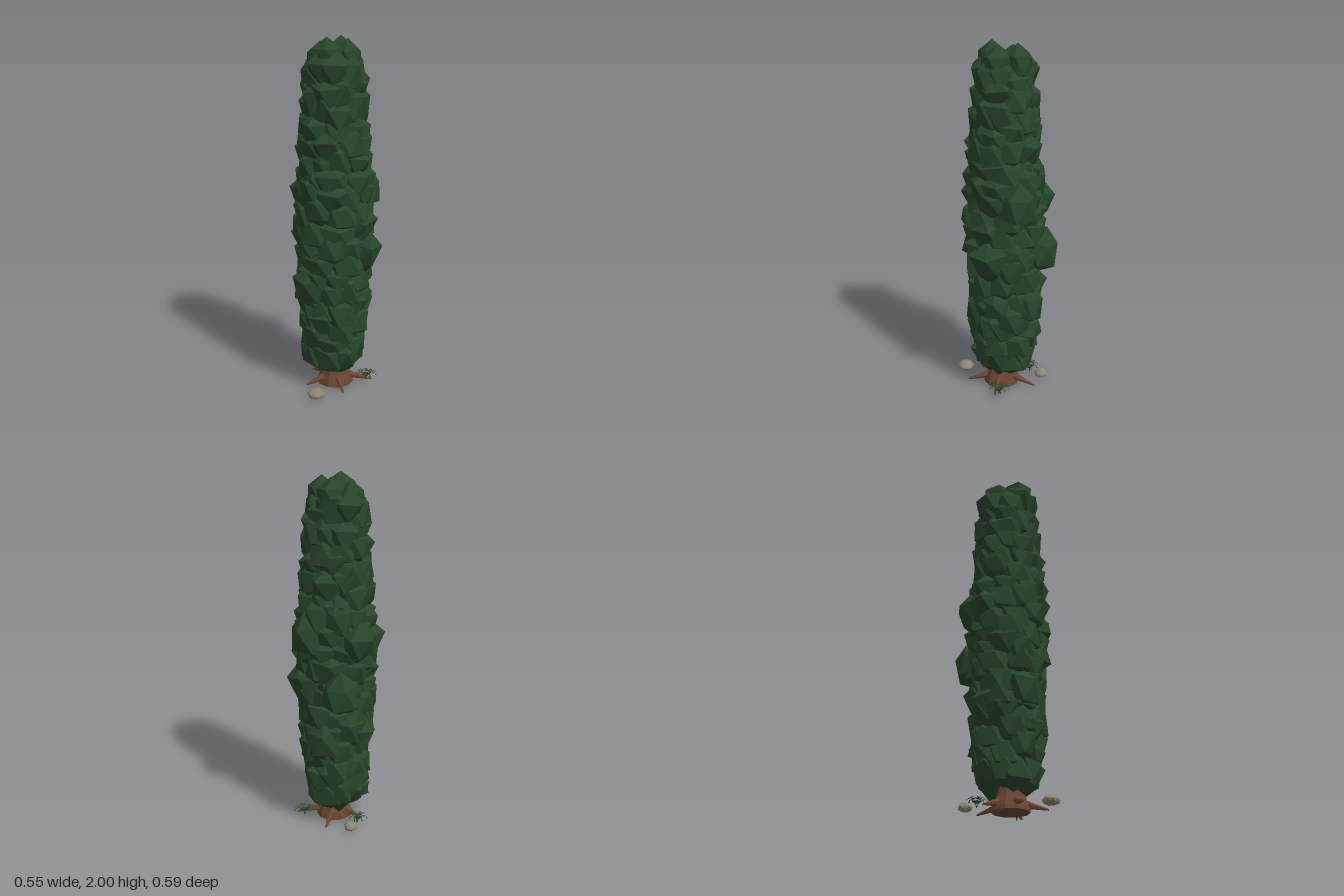
import * as THREE from 'three';

const flat = (name, color, extra = {}) =>
  Object.assign(new THREE.MeshStandardMaterial({ color, flatShading: true, ...extra }), { name });

// Small seeded generator, returns values between a and b
function makeRandom(seed) {
  return (a, b) => {
    seed = (seed * 16807) % 2147483647;
    return a + (b - a) * (seed / 2147483647);
  };
}

// Icosahedron whose corners are pushed in and out by a rule, for an angular, uneven lump
function lump(detail, amount, phase) {
  const geometry = new THREE.IcosahedronGeometry(1, detail).rotateZ(-0.5536); // one corner points up
  const p = geometry.attributes.position;
  const v = new THREE.Vector3();
  for (let i = 0; i < p.count; i++) {
    v.fromBufferAttribute(p, i);
    const wave = Math.sin(v.x * 5.1 + phase) + Math.sin(v.y * 4.3 + phase * 2.3) + Math.sin(v.z * 6.7 + phase * 3.1);
    v.multiplyScalar(1 + amount * wave / 3);
    p.setXYZ(i, v.x, v.y, v.z);
  }
  geometry.computeVertexNormals();
  return geometry;
}

export function createModel() {
  const leaf = flat('leafGreen', 0x284529);
  const bark = flat('barkBrown', 0x6b4632);
  const rock = flat('stoneGrey', 0x8c8573);
  const fernGreen = flat('fernGreen', 0x2b4a29, { side: THREE.DoubleSide });
  const rand = makeRandom(4217);
  const model = new THREE.Group();
  model.name = 'columnarTree';

  const add = (parent, name, geometry, material) => {
    const mesh = new THREE.Mesh(geometry, material);
    mesh.name = name;
    parent.add(mesh);
    return mesh;
  };

  // Foliage: a solid core wrapped in staggered rings of angular clumps
  const foliage = new THREE.Group();
  foliage.name = 'foliage';
  model.add(foliage);
  const core = [[0, 0.11], [0.1, 0.14], [0.16, 0.4], [0.175, 1.1], [0.14, 1.6], [0.1, 1.84], [0, 1.86]];
  add(foliage, 'foliageCore', new THREE.LatheGeometry(core.map(p => new THREE.Vector2(...p)), 9), leaf);

  const shapes = [0.4, 1.7, 2.9, 4.1, 5.3].map(phase => lump(0, 0.22, phase));
  const crownShape = new THREE.IcosahedronGeometry(1, 0).rotateZ(-0.5536);
  const clump = (shape, angle, y, reach, size, tall, tilt, spin) => {
    const mesh = add(foliage, 'leafClump', shape, leaf);
    const r = reach - size * 0.9;
    mesh.position.set(Math.cos(angle) * r - 0.014, y, Math.sin(angle) * r - 0.012);
    mesh.rotation.set(0, -angle, tilt, 'YXZ');
    mesh.scale.set(size, size * tall, size * 1.15);
    mesh.rotateY(spin);
  };

  // Outer radius of the column by height
  const outline = [[0.17, 0.18], [0.35, 0.2], [0.6, 0.218], [0.9, 0.226], [1.1, 0.232],
    [1.4, 0.208], [1.6, 0.193], [1.9, 0.168]];
  const radiusAt = y => {
    const i = Math.max(1, outline.findIndex(p => p[0] >= y));
    const [y0, r0] = outline[i - 1], [y1, r1] = outline[i];
    return r0 + (r1 - r0) * (y - y0) / (y1 - y0);
  };
  const rings = 18, perRing = 9;
  for (let i = 0; i < rings; i++) {
    const y = 0.2 + i * 0.094;
    for (let j = 0; j < perRing; j++) {
      const angle = ((j + (i % 2) / 2) / perRing) * Math.PI * 2 + i * 0.13 + rand(-0.15, 0.15);
      const lift = i === 0 ? 0 : rand(-0.03, 0.03);
      const size = rand(0.082, 0.1);
      clump(shapes[(i * 3 + j * 2) % 5], angle, y + lift, radiusAt(y) + rand(-0.01, 0.01), size,
        rand(1.15, 1.4), rand(-0.3, 0.1), rand(-0.5, 0.5));
    }
  }
  // Larger clumps that break the outline
  [[-0.05, 0.81, 0.272], [-1.9, 0.84, 0.3], [3.22, 1.1, 0.25], [-0.9, 1.15, 0.28],
    [2.0, 0.62, 0.245], [-2.45, 1.1, 0.275], [-1.4, 0.55, 0.25]].forEach(([a, y, reach], i) =>
    clump(shapes[i % 5], a, y, reach, 0.1, 1.35, -0.2, 0.3));
  // Crown of four upright peaks around a hollow
  [1.99, 2, 1.97, 1.995].forEach((peak, i) =>
    clump(crownShape, i * Math.PI / 2 + 0.05, peak - 0.11, 0.158, 0.085, 1.3, 0, i * 0.4));

  // Trunk flaring to the ground
  const trunk = [[0, 0.003], [0.103, 0.003], [0.1, 0.025], [0.08, 0.08], [0.068, 0.13], [0.065, 0.2], [0, 0.2]];
  add(model, 'trunk', new THREE.LatheGeometry(trunk.map(p => new THREE.Vector2(...p)), 10), bark);

  // Five tapering roots
  [0.197, 0.19, 0.178, 0.215, 0.212].forEach((reach, i) => {
    const angle = THREE.MathUtils.degToRad(53 + i * 72);
    const from = new THREE.Vector3(Math.cos(angle) * 0.06, 0.05, Math.sin(angle) * 0.06);
    const to = new THREE.Vector3(Math.cos(angle) * reach, 0.02, Math.sin(angle) * reach);
    const along = to.clone().sub(from);
    const root = add(model, 'root', new THREE.CylinderGeometry(0.005, 0.024, along.length(), 6), bark);
    root.position.copy(from).addScaledVector(along, 0.5);
    root.quaternion.setFromUnitVectors(new THREE.Vector3(0, 1, 0), along.normalize());
  });

  // Stones
  const stoneShape = lump(1, 0.12, 1.3);
  [[-0.003, 0.25, 0.052, 0.027, 0.047], [-0.141, -0.188, 0.04, 0.026, 0.038]].forEach(([x, z, sx, sy, sz], i) => {
    const stone = add(model, 'stone', stoneShape, rock);
    stone.scale.set(sx, sy, sz);
    stone.position.set(x, sy + 0.003, z);
    stone.rotation.y = 0.5 + i;
  });

  // Ferns: arching fronds with paired leaflets
  const fern = (x, z, reach, fronds) => {
    const points = [];
    for (let f = 0; f < fronds; f++) {
      const a = (f / fronds) * Math.PI * 2 + rand(-0.2, 0.2);
      const out = new THREE.Vector3(Math.cos(a), 0, Math.sin(a));
      const side = new THREE.Vector3(-out.z, 0, out.x);
      const length = reach * rand(0.85, 1.05);
      const at = (t, s) => out.clone().multiplyScalar(length * t).addScaledVector(side, s)
        .setY(0.008 + 0.13 * t * (1.25 - t));
      for (let k = 0; k < 6; k++) {
        const t = k / 6, w = 0.02 * (1.15 - t);
        points.push(at(t, 0.003), at(t, -0.003), at(t + 0.17, 0));
        if (k > 0) {
          points.push(at(t, 0), at(t + 0.1, -w), at(t + 0.13, 0));
          points.push(at(t, 0), at(t + 0.13, 0), at(t + 0.1, w));
        }
      }
    }
    const geometry = new THREE.BufferGeometry().setFromPoints(points);
    geometry.computeVertexNormals();
    add(model, 'fern', geometry, fernGreen).position.set(x, 0, z);
  };
  fern(0.162, -0.075, 0.068, 9);
  fern(-0.16, -0.1, 0.064, 8);

  return model;
}
